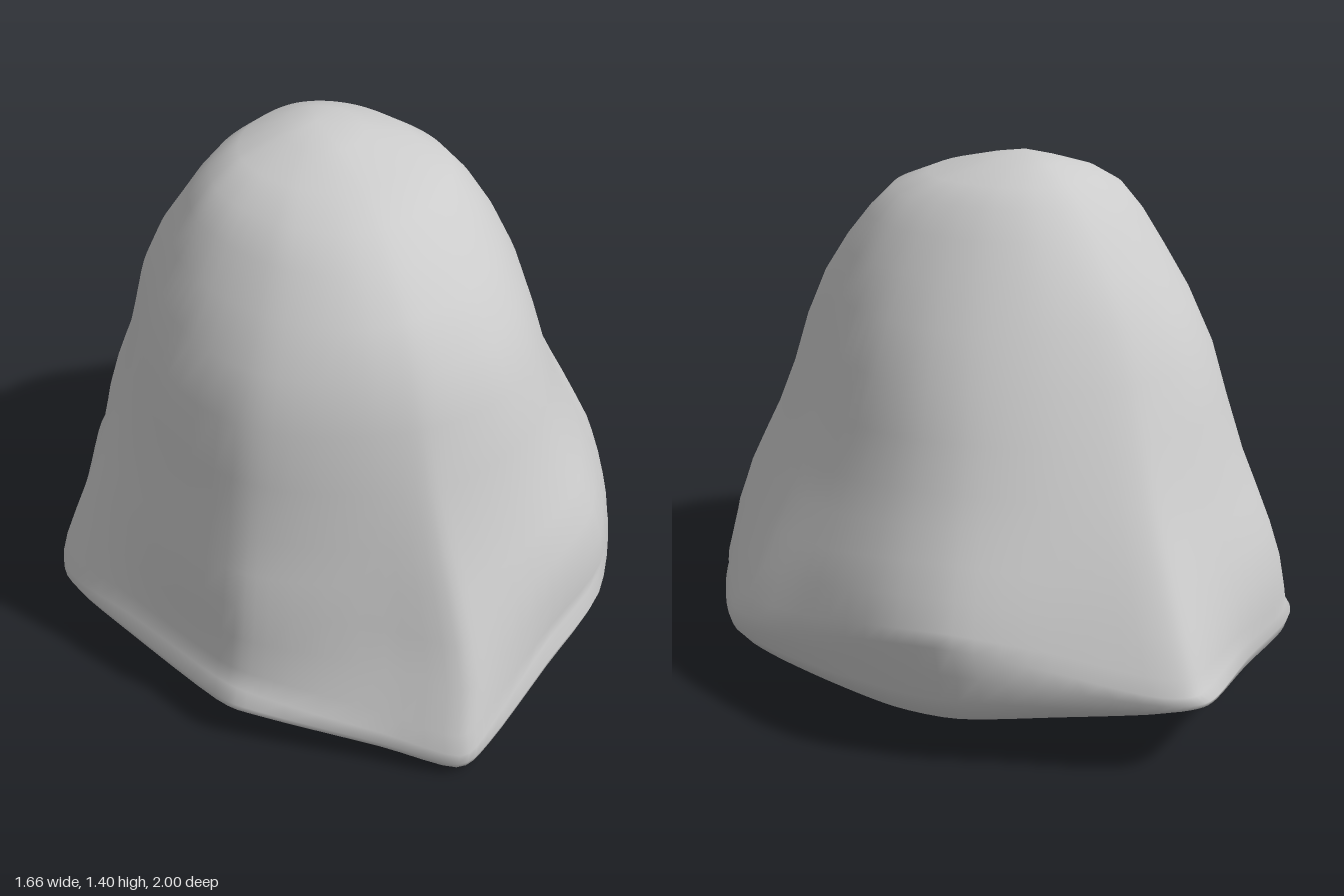
import * as THREE from 'three';

// Hem outline, counter-clockwise seen from above: x, z, upper edge y, lower edge y
const HEM = [
  [0.14, 1.0, 0.07, 0.0], [0.24, 0.95, 0.1, 0.01], [0.45, 0.76, 0.17, 0.065], [0.65, 0.56, 0.19, 0.105],
  [0.77, 0.27, 0.19, 0.12], [0.83, -0.08, 0.22, 0.12], [0.785, -0.24, 0.24, 0.12], [0.665, -0.43, 0.27, 0.11],
  [0.53, -0.63, 0.32, 0.11], [0.39, -0.77, 0.33, 0.12], [0.16, -0.88, 0.28, 0.14], [-0.06, -0.98, 0.23, 0.16],
  [-0.16, -1.0, 0.22, 0.17], [-0.23, -0.96, 0.22, 0.16], [-0.4, -0.79, 0.22, 0.13], [-0.6, -0.61, 0.2, 0.11],
  [-0.68, -0.49, 0.19, 0.1], [-0.74, -0.25, 0.16, 0.08], [-0.83, 0.07, 0.11, 0.05], [-0.8, 0.2, 0.11, 0.05],
  [-0.67, 0.41, 0.14, 0.055], [-0.46, 0.71, 0.15, 0.06], [-0.35, 0.79, 0.14, 0.06], [-0.05, 0.92, 0.1, 0.03],
];

// Silhouette by height: y, x min, x max, z min, z max
const SIDES = [
  [0.05, -0.83, 0.84, -1.02, 1.0], [0.12, -0.83, 0.83, -1.01, 0.98], [0.25, -0.77, 0.82, -0.98, 0.915],
  [0.4, -0.7, 0.745, -0.89, 0.845], [0.6, -0.625, 0.64, -0.77, 0.765], [0.75, -0.585, 0.575, -0.69, 0.72],
  [0.9, -0.55, 0.525, -0.615, 0.68], [1.03, -0.51, 0.48, -0.55, 0.64], [1.14, -0.455, 0.425, -0.475, 0.565],
  [1.23, -0.4, 0.365, -0.4, 0.47], [1.3, -0.34, 0.3, -0.33, 0.38], [1.345, -0.26, 0.21, -0.27, 0.25],
  [1.38, -0.15, 0.08, -0.17, 0.1],
];

const N = 96;
const { lerp, clamp, smoothstep } = THREE.MathUtils;

// Silhouette extents at any height
function extentsAt(y) {
  let i = 0;
  while (i < SIDES.length - 2 && y > SIDES[i + 1][0]) i++;
  const a = SIDES[i], b = SIDES[i + 1];
  const t = clamp((y - a[0]) / (b[0] - a[0]), 0, 1);
  return a.map((v, k) => lerp(v, b[k], t));
}

// Smooth hem through x, z and two heights
function hemEdge() {
  const curve = column => new THREE.CatmullRomCurve3(
    HEM.map(p => new THREE.Vector3(p[0], p[column], p[1])), true, 'catmullrom', 0.4);
  const upper = curve(2), lower = curve(3);
  return Array.from({ length: N }, (_, j) => [upper.getPoint(j / N), Math.max(0, lower.getPoint(j / N).y)]);
}

function loft(rings, bottom, top) {
  const pos = [], index = [];
  rings.forEach(r => r.forEach(p => pos.push(...p)));
  pos.push(...bottom, ...top);
  const last = (rings.length - 1) * N, b = rings.length * N, t = b + 1;
  for (let j = 0; j < N; j++) {
    const k = (j + 1) % N;
    index.push(b, k, j, t, last + j, last + k);
    for (let i = 0; i < rings.length - 1; i++) {
      const lo = i * N, hi = lo + N;
      index.push(lo + j, lo + k, hi + k, lo + j, hi + k, hi + j);
    }
  }
  const g = new THREE.BufferGeometry();
  g.setAttribute('position', new THREE.Float32BufferAttribute(pos, 3));
  g.setIndex(index);
  g.computeVertexNormals();
  return g;
}

export function createModel() {
  const edge = hemEdge();
  const rings = [];

  // Shallow hollow underside and rounded hem: scale, share of the rise to the hollow
  for (const [s, rise] of [[0.2, 1], [0.38, 0.95], [0.52, 0.75], [0.66, 0.4], [0.8, 0.1], [0.9, 0], [0.955, 0]]) {
    rings.push(edge.map(([p, low]) => [p.x * s, lerp(low, 0.17, rise), p.z * s]));
  }
  rings.push(edge.map(([p, low]) => [p.x * 0.988, lerp(low, p.y, 0.3), p.z * 0.988]));
  rings.push(edge.map(([p, low]) => [p.x, lerp(low, p.y, 0.65), p.z]));

  // Draped sides: corner ridges fade into a full oval, then a slightly peaked crown
  for (const level of [0.15, 0.2, 0.3, 0.4, 0.5, 0.6, 0.75, 0.9, 1.03, 1.14, 1.23, 1.3, 1.345, 1.38]) {
    const sway = Math.max(0, 1 - (level - 0.15) / 0.75);
    rings.push(edge.map(([p]) => {
      const y = level + (p.y - 0.15) * sway;
      const [, x0, x1, z0, z1] = extentsAt(y);
      const angle = Math.atan2(p.z, p.x / 0.83);
      const blend = smoothstep(y, 0.15, 0.95) * 0.92;
      const fullness = 0.085 * smoothstep(y, 0.13, 0.42) - 0.02 * smoothstep(y, 0.45, 0.75)
        - 0.1 * smoothstep(y, 0.85, 1.25);
      const swell = 1 + fullness * Math.sin(2 * angle) ** 2;
      const u = lerp(p.x / 0.83, Math.cos(angle), blend) * swell;
      const v = lerp(p.z, Math.sin(angle), blend) * swell;
      return [(x0 + x1) / 2 + u * (x1 - x0) / 2, y, (z0 + z1) / 2 + v * (z1 - z0) / 2];
    }));
  }

  const body = new THREE.Mesh(
    loft(rings, [0, 0.17, 0], [-0.05, 1.405, -0.03]),
    new THREE.MeshStandardMaterial({ color: 0xcccccc }),
  );
  body.name = 'drapedBody';
  const group = new THREE.Group();
  group.name = 'drapedDome';
  group.add(body);
  return group;
}
